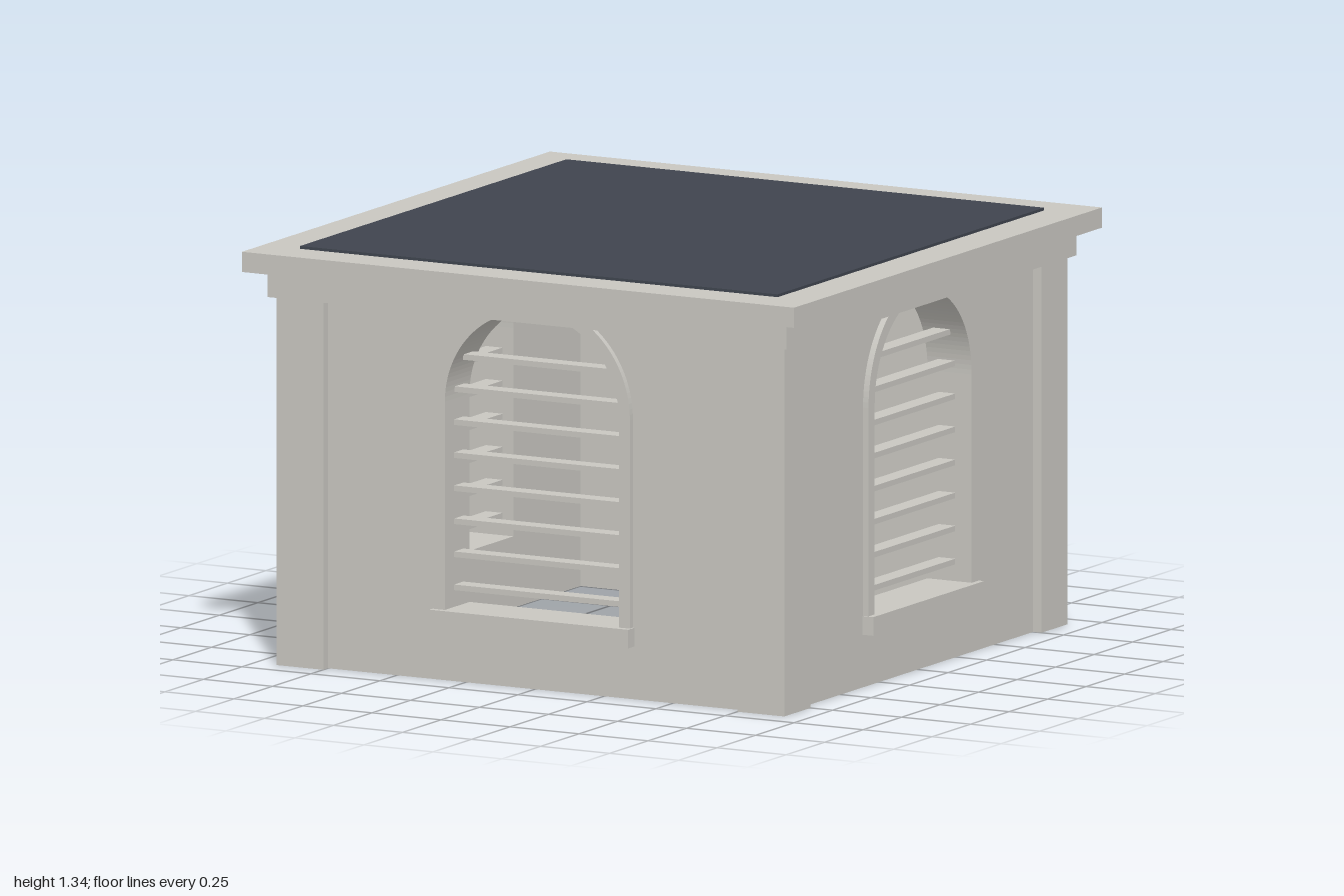
import * as THREE from 'three';

const stone = new THREE.MeshStandardMaterial({ color: 0xc8c6c0 });
stone.name = 'pale stone';
const slate = new THREE.MeshStandardMaterial({ color: 0x3f444e });
slate.name = 'dark slate';

const INNER = 0.75, WALL = 0.89, POST = 0.92; // distances from the centre
const SPRING = 0.9, SILL_TOP = 0.23, OPENING = 0.315, FRAME = 0.355;

function add(parent, name, geometry, material, x = 0, y = 0, z = 0) {
  const mesh = new THREE.Mesh(geometry, material);
  mesh.name = name;
  mesh.position.set(x, y, z);
  parent.add(mesh);
  return mesh;
}

// Square slab spanning y0..y1
function slab(parent, name, half, y0, y1, material) {
  add(parent, name, new THREE.BoxGeometry(2 * half, y1 - y0, 2 * half), material, 0, (y0 + y1) / 2, 0);
}

// Round-headed outline, used for the opening and its frame
function arch(path, r, bottom) {
  path.moveTo(-r, bottom);
  path.lineTo(r, bottom);
  path.lineTo(r, SPRING);
  path.absarc(0, SPRING, r, 0, Math.PI, false);
  path.lineTo(-r, bottom);
  return path;
}

function extrude(shape, depth) {
  return new THREE.ExtrudeGeometry(shape, { depth, bevelEnabled: false, curveSegments: 32 });
}

function createSide() {
  const side = new THREE.Group();
  side.name = 'side';

  // Wall panel with an arched opening
  const panel = new THREE.Shape();
  panel.moveTo(-0.76, 0);
  panel.lineTo(0.76, 0);
  panel.lineTo(0.76, 1.26);
  panel.lineTo(-0.76, 1.26);
  panel.closePath();
  panel.holes.push(arch(new THREE.Path(), OPENING, SILL_TOP));
  add(side, 'wall', extrude(panel, WALL - INNER), stone, 0, 0, INNER);

  // Raised surround: one outline around the arch, open at the sill
  const surround = new THREE.Shape();
  surround.moveTo(FRAME, SILL_TOP - 0.01);
  surround.lineTo(FRAME, SPRING);
  surround.absarc(0, SPRING, FRAME, 0, Math.PI, false);
  surround.lineTo(-FRAME, SILL_TOP - 0.01);
  surround.lineTo(-OPENING, SILL_TOP - 0.01);
  surround.lineTo(-OPENING, SPRING);
  surround.absarc(0, SPRING, OPENING, Math.PI, 0, true);
  surround.lineTo(OPENING, SILL_TOP - 0.01);
  surround.closePath();
  add(side, 'archSurround', extrude(surround, 0.03), stone, 0, 0, WALL - 0.01);

  // Window sill
  add(side, 'sill', new THREE.BoxGeometry(0.72, 0.06, 0.13), stone, 0, 0.2, 0.865);

  // Louvre slats, shortened within the arch
  for (let i = 0; i < 8; i++) {
    const y = 0.293 + i * 0.1063;
    const rise = Math.max(0, y - SPRING);
    const half = Math.sqrt(OPENING * OPENING - rise * rise);
    add(side, 'louvreSlat', new THREE.BoxGeometry(2 * half, 0.018, 0.06), stone, 0, y, 0.82);
  }
  return side;
}

export function createModel() {
  const model = new THREE.Group();
  model.name = 'louvredCupola';

  // Four identical sides and corner posts
  const width = POST - INNER, mid = (POST + INNER) / 2;
  for (let i = 0; i < 4; i++) {
    const side = createSide();
    add(side, 'cornerPost', new THREE.BoxGeometry(width, 1.26, width), stone, mid, 0.63, mid);
    side.rotation.y = (i * Math.PI) / 2;
    model.add(side);
  }

  // Stepped cornice and roof covering
  slab(model, 'lowerCornice', 0.94, 1.185, 1.27, stone);
  slab(model, 'upperCornice', 1, 1.27, 1.335, stone);
  slab(model, 'roofCovering', 0.865, 1.335, 1.344, slate);
  return model;
}
